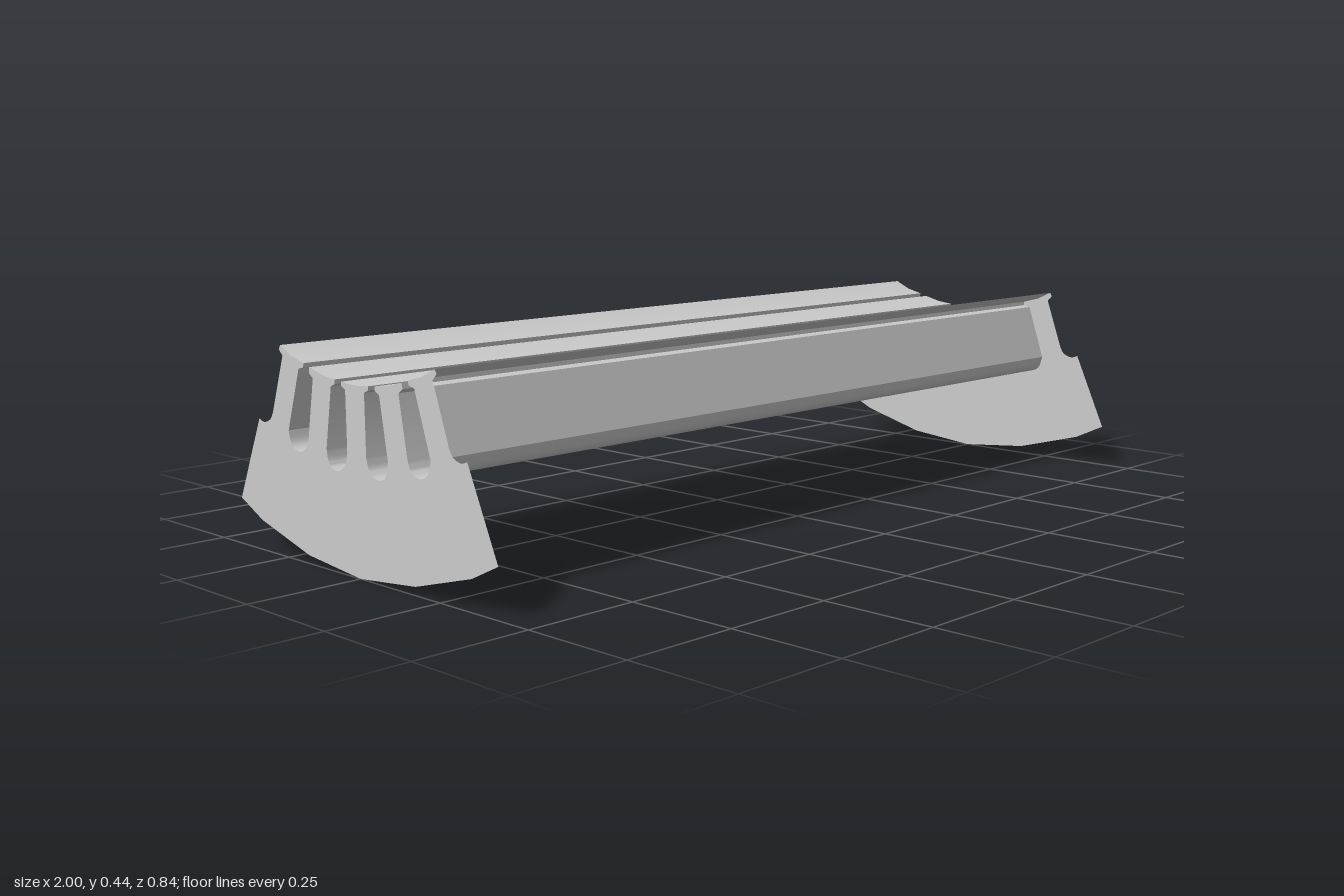
import * as THREE from 'three';
import { toCreasedNormals } from 'three/addons/utils/BufferGeometryUtils.js';

const HALF_LENGTH = 1;
const V = (z, y) => new THREE.Vector2(z, y);

// Rounded slot floor through a few points
const floor = (...pts) => new THREE.SplineCurve(pts.map(([z, y]) => V(z, y))).getPoints(16);

// Mirror a half profile (running outwards from z = 0) to the other side
const mirrored = half => [
  ...half.slice(1).reverse().map(p => V(-p.x, p.y)),
  ...half,
];

// Slot walls and tooth tips, from the centre tooth to the outer tooth tip
const linerHalf = [
  V(0, 0.379), V(0.044, 0.382), V(0.044, 0.374), V(0.031, 0.368),
  ...floor([0.031, 0.243], [0.041, 0.217], [0.067, 0.204], [0.092, 0.213], [0.101, 0.243]),
  V(0.079, 0.369), V(0.066, 0.375), V(0.066, 0.384),
  V(0.108, 0.389), V(0.151, 0.4), V(0.153, 0.388), V(0.14, 0.379),
  ...floor([0.162, 0.258], [0.172, 0.235], [0.198, 0.225], [0.223, 0.236], [0.233, 0.264]),
  V(0.189, 0.393), V(0.172, 0.397), V(0.171, 0.406),
  V(0.214, 0.417), V(0.252, 0.435),
];

// Outer flank, half slot, shoulder and curved back of the end plates
const plateHalf = [
  ...linerHalf,
  V(0.257, 0.426), V(0.245, 0.414),
  ...floor([0.288, 0.295], [0.299, 0.279], [0.321, 0.271], [0.34, 0.276]),
  V(0.421, 0.099), V(0.345, 0.063), V(0.176, 0.017),
];

// Open sheet swept along x, its normals facing up and into the slots
function sweep(profile) {
  const pos = [];
  for (let i = 0; i < profile.length - 1; i++) {
    const a = profile[i], b = profile[i + 1], L = HALF_LENGTH;
    pos.push(-L, a.y, a.x, -L, b.y, b.x, L, b.y, b.x);
    pos.push(-L, a.y, a.x, L, b.y, b.x, L, a.y, a.x);
  }
  const geo = new THREE.BufferGeometry();
  geo.setAttribute('position', new THREE.Float32BufferAttribute(pos, 3));
  return toCreasedNormals(geo, 0.55);
}

export function createModel() {
  const group = new THREE.Group();
  const material = new THREE.MeshStandardMaterial({ color: 0xcccccc, side: THREE.DoubleSide });

  // Long slot liner joining the two ends
  const liner = new THREE.Mesh(sweep(mirrored(linerHalf)), material);
  liner.name = 'slotLiner';
  group.add(liner);

  // Thin toothed plate at each end
  const plateShape = new THREE.Shape([...mirrored(plateHalf), V(0, 0)]);
  for (const side of [1, -1]) {
    const plate = new THREE.Mesh(new THREE.ShapeGeometry(plateShape), material);
    plate.name = side > 0 ? 'leftEndPlate' : 'rightEndPlate';
    plate.rotation.y = side * Math.PI / 2;
    plate.position.x = side * HALF_LENGTH;
    group.add(plate);
  }
  return group;
}
